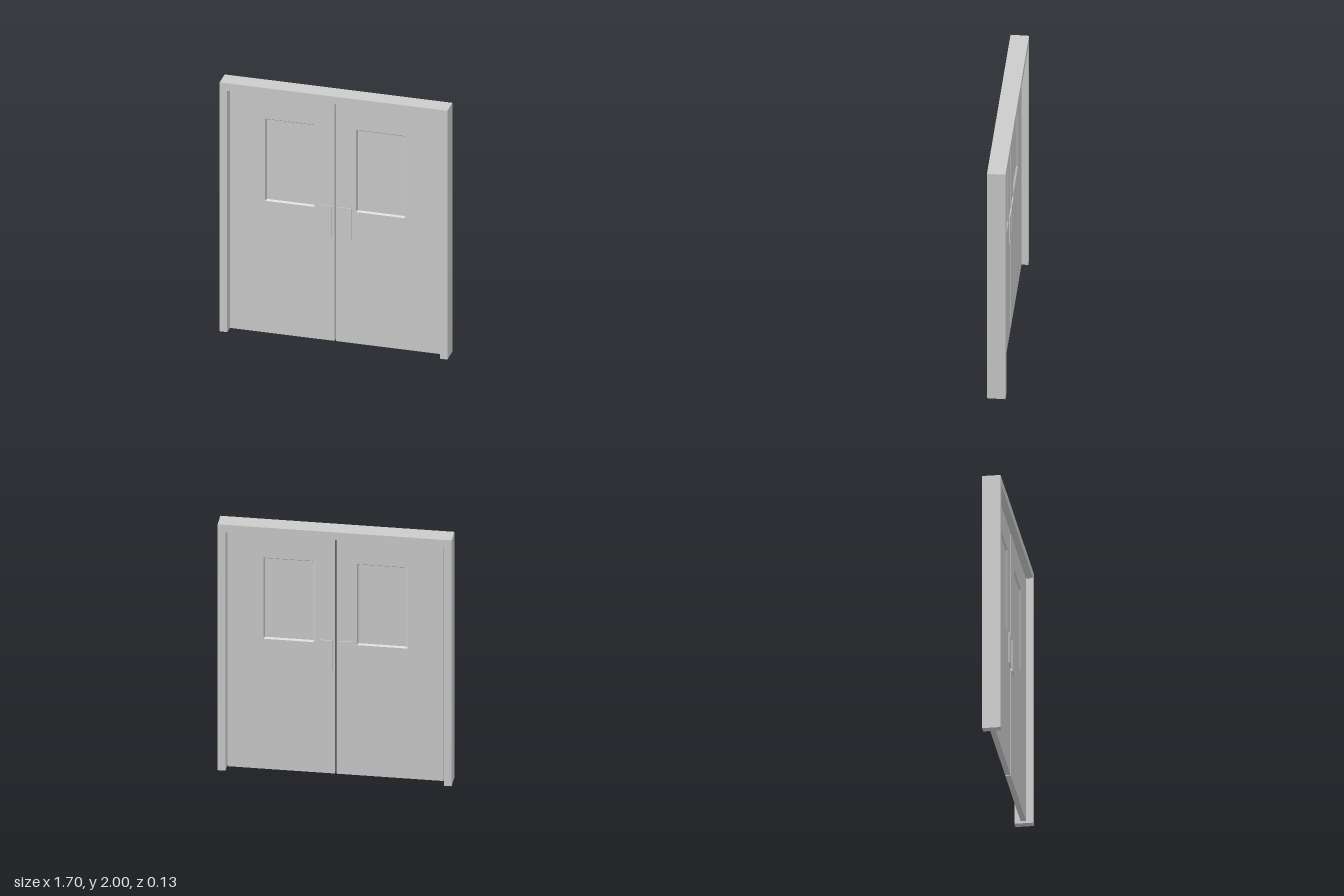
import * as THREE from 'three';

const material = new THREE.MeshStandardMaterial({ color: 0xcccccc });

const FRAME = { half: 0.85, inner: 0.793, top: 2, head: 1.94, depth: 0.134 };
const LEAF = { x0: 0.005, x1: 0.785, y0: 0.013, y1: 1.93, depth: 0.04 };
const WINDOW = { x0: 0.154, x1: 0.524, y0: 1.07, y1: 1.73, bevel: 0.01, sink: 0.014 };
const PLATE = { x0: 0.024, x1: 0.121, y0: 0.852, y1: 1.095, depth: 0.008 };

function addMesh(parent, name, geometry, x = 0, y = 0, z = 0) {
  const mesh = new THREE.Mesh(geometry, material);
  mesh.name = name;
  mesh.position.set(x, y, z);
  parent.add(mesh);
  return mesh;
}

const corners = (x0, y0, x1, y1) =>
  [[x0, y0], [x1, y0], [x1, y1], [x0, y1]].map(([x, y]) => new THREE.Vector2(x, y));

function extrude(shape, depth) {
  return new THREE.ExtrudeGeometry(shape, { depth, bevelEnabled: false }).translate(0, 0, -depth / 2);
}

// Four sloping faces joining a rectangular opening to a smaller, sunken one
function slopedReveal(w, h, inset, zFace, zSunk) {
  const points = [
    ...corners(-w / 2, -h / 2, w / 2, h / 2).map(p => new THREE.Vector3(p.x, p.y, zFace)),
    ...corners(-w / 2 + inset, -h / 2 + inset, w / 2 - inset, h / 2 - inset)
      .map(p => new THREE.Vector3(p.x, p.y, zSunk)),
  ];
  const index = [];
  for (let i = 0; i < 4; i++) {
    const j = (i + 1) % 4;
    index.push(i, j, j + 4, i, j + 4, i + 4);
  }
  const indexed = new THREE.BufferGeometry().setFromPoints(points);
  indexed.setIndex(index);
  const geometry = indexed.toNonIndexed();
  geometry.computeVertexNormals();
  return geometry;
}

// One door leaf; side is +1 for the left leaf and -1 for the right
function createLeaf(side) {
  const leaf = new THREE.Group();
  leaf.name = side > 0 ? 'leftDoor' : 'rightDoor';
  const spanX = r => (side > 0 ? [r.x0, r.x1] : [-r.x1, -r.x0]);

  // Panel with the window opening
  const [px0, px1] = spanX(LEAF);
  const [wx0, wx1] = spanX(WINDOW);
  const panel = new THREE.Shape(corners(px0, LEAF.y0, px1, LEAF.y1));
  panel.holes.push(new THREE.Path(corners(wx0, WINDOW.y0, wx1, WINDOW.y1).reverse()));
  addMesh(leaf, 'doorPanel', extrude(panel, LEAF.depth));

  // Window pane, with a sloping surround on both faces
  const w = WINDOW.x1 - WINDOW.x0, h = WINDOW.y1 - WINDOW.y0;
  const cx = (wx0 + wx1) / 2, cy = (WINDOW.y0 + WINDOW.y1) / 2;
  const face = LEAF.depth / 2, sunk = face - WINDOW.sink;
  addMesh(leaf, 'windowPane',
    new THREE.BoxGeometry(w - 2 * WINDOW.bevel, h - 2 * WINDOW.bevel, 2 * sunk), cx, cy);
  const surround = slopedReveal(w, h, WINDOW.bevel, face, sunk);
  addMesh(leaf, 'windowSurroundFront', surround, cx, cy);
  addMesh(leaf, 'windowSurroundBack', surround, cx, cy).rotation.y = Math.PI;

  // Push plates on both faces
  const plate = new THREE.BoxGeometry(PLATE.x1 - PLATE.x0, PLATE.y1 - PLATE.y0, PLATE.depth);
  for (const [name, dir] of [['pushPlateFront', 1], ['pushPlateBack', -1]]) {
    addMesh(leaf, name, plate, side * (PLATE.x0 + PLATE.x1) / 2,
      (PLATE.y0 + PLATE.y1) / 2, dir * (face + PLATE.depth / 2));
  }
  return leaf;
}

export function createModel() {
  const model = new THREE.Group();
  model.name = 'doubleDoor';

  // Door frame: two jambs and a head in one piece
  const { half, inner, top, head, depth } = FRAME;
  const outline = [
    [-half, 0], [-inner, 0], [-inner, head], [inner, head],
    [inner, 0], [half, 0], [half, top], [-half, top],
  ].map(([x, y]) => new THREE.Vector2(x, y));
  addMesh(model, 'doorFrame', extrude(new THREE.Shape(outline), depth));

  for (const side of [-1, 1]) model.add(createLeaf(side));
  return model;
}
